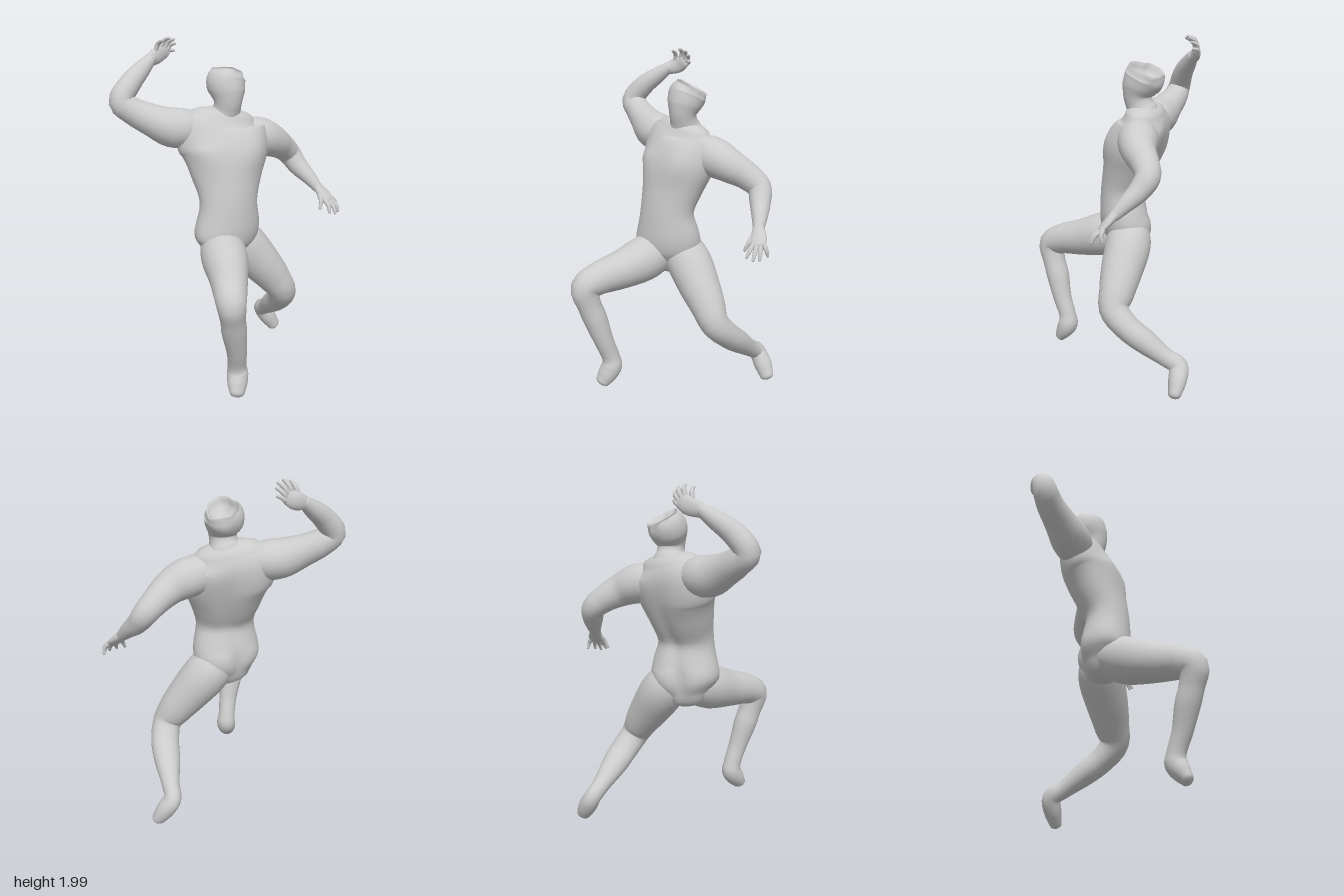
import * as THREE from 'three';

const material = new THREE.MeshStandardMaterial({ color: 0xcccccc });
const V = (x, y, z) => new THREE.Vector3(x, y, z);

// Skin a smooth closed tube over sections [x, y, z, radiusA, radiusB, twist].
// ref points along radiusA; capEnd < 0 turns the end cap into a hollow.
function loft(name, sections, { ref = V(1, 0, 0), sides = 20, steps = 4, capEnd = 0.7, shape = () => 1 } = {}) {
  const path = new THREE.CatmullRomCurve3(sections.map(s => V(s[0], s[1], s[2])));
  const sizes = new THREE.CatmullRomCurve3(
    sections.map(s => V(s[3], s[4] ?? s[3], s[5] ?? 0)), false, 'catmullrom', 0.5);
  const n = (sections.length - 1) * steps;
  const rings = [];
  const addRing = (u, lift, shrink) => rings.push({ u, lift, shrink });
  for (const a of [1.2, 0.8, 0.4]) addRing(0, -0.7 * Math.sin(a), Math.cos(a));
  for (let i = 0; i <= n; i++) addRing(i / n, 0, 1);
  for (const a of [0.4, 0.8, 1.2]) addRing(1, capEnd * Math.sin(a), Math.cos(a));

  const pos = [], index = [];
  const frame = (u, lift) => {
    const t = path.getTangent(u), size = sizes.getPoint(u);
    const side = ref.clone().addScaledVector(t, -ref.dot(t)).normalize().applyAxisAngle(t, size.z);
    const c = path.getPoint(u).addScaledVector(t, lift * Math.min(size.x, size.y));
    return { c, side, other: t.clone().cross(side), size };
  };
  for (const { u, lift, shrink } of rings) {
    const f = frame(u, lift);
    for (let j = 0; j < sides; j++) {
      const a = j / sides * Math.PI * 2, k = shrink * shape(a, u);
      const p = f.c.clone()
        .addScaledVector(f.side, Math.cos(a) * f.size.x * k)
        .addScaledVector(f.other, Math.sin(a) * f.size.y * k);
      pos.push(p.x, p.y, p.z);
    }
  }
  for (let i = 0; i < rings.length - 1; i++) {
    for (let j = 0; j < sides; j++) {
      const a = i * sides + j, b = i * sides + (j + 1) % sides;
      index.push(a, b, b + sides, a, b + sides, a + sides);
    }
  }
  // poles
  const last = (rings.length - 1) * sides, pole = rings.length * sides;
  for (const [u, lift] of [[0, -0.7], [1, capEnd]]) {
    const { c } = frame(u, lift);
    pos.push(c.x, c.y, c.z);
  }
  for (let j = 0; j < sides; j++) {
    const k = (j + 1) % sides;
    index.push(pole, k, j, pole + 1, last + j, last + k);
  }
  const g = new THREE.BufferGeometry();
  g.setAttribute('position', new THREE.Float32BufferAttribute(pos, 3));
  g.setIndex(index);
  g.computeVertexNormals();
  const mesh = new THREE.Mesh(g, material);
  mesh.name = name;
  return mesh;
}

// Palm with fingers running from [base, tip] pairs, bent at the middle joint
function hand(name, palm, ref, fingers, bend) {
  const g = new THREE.Group();
  g.name = name;
  g.add(loft('palm', palm, { ref, sides: 14 }));
  for (const [base, tip] of fingers) {
    const mid = base.map((b, i) => (b + tip[i]) / 2 + bend[i]);
    g.add(loft('finger', [[...base, 0.014], [...mid, 0.013], [...tip, 0.008]], { sides: 8, steps: 3 }));
  }
  return g;
}

// Muscle relief of the torso: spine, buttock cleft, chest and shoulder blades
const bump = (v, at, w) => Math.exp(-(((v - at) / w) ** 2));
const BACK = Math.PI / 2, FRONT = Math.PI * 1.5;
function torsoRelief(a, u) {
  const pair = (mid, gap, w) => bump(a, mid - gap, w) + bump(a, mid + gap, w);
  return 1
    - 0.10 * Math.sin(Math.PI * u) * bump(a, BACK, 0.22)
    - 0.14 * bump(u, 0.12, 0.13) * bump(a, BACK, 0.2)
    + 0.06 * bump(u, 0.14, 0.12) * pair(BACK, 0.6, 0.4)
    + 0.13 * bump(u, 0.68, 0.1) * pair(FRONT, 0.5, 0.4)
    + 0.07 * bump(u, 0.78, 0.12) * pair(BACK, 0.6, 0.35);
}

// Ragged rim of the hollow crown
const raggedRim = (a, u) =>
  1 + 0.05 * Math.max(0, u * 6 - 5) * (Math.sin(a * 5) + Math.sin(a * 3 + 1) + 0.6 * Math.sin(a * 9));

export function createModel() {
  const model = new THREE.Group();
  model.name = 'leapingFigure';

  model.add(loft('torso', [
    [-0.115, 0.785, -0.04, 0.13, 0.105, 0],
    [-0.105, 0.865, -0.035, 0.195, 0.142, 0],
    [-0.10, 0.95, -0.02, 0.20, 0.145, -0.1],
    [-0.10, 1.10, -0.01, 0.172, 0.128, -0.25],
    [-0.08, 1.25, -0.05, 0.21, 0.15, -0.38],
    [-0.06, 1.38, -0.09, 0.255, 0.155, -0.42],
    [-0.06, 1.49, -0.13, 0.262, 0.14, -0.4],
    [-0.045, 1.565, -0.135, 0.19, 0.105, -0.4],
  ], { sides: 40, capEnd: 0.5, shape: torsoRelief }));

  // Neck flaring into the shoulders, and head open at the crown
  model.add(loft('head', [
    [-0.04, 1.50, -0.13, 0.17, 0.10, -0.3],
    [-0.037, 1.56, -0.12, 0.112, 0.092, -0.2],
    [-0.035, 1.61, -0.10, 0.08, 0.08],
    [-0.035, 1.655, -0.09, 0.078, 0.084],
    [-0.03, 1.705, -0.10, 0.098, 0.104],
    [-0.022, 1.76, -0.125, 0.108, 0.117],
    [0.0, 1.81, -0.138, 0.086, 0.098],
  ], { sides: 36, capEnd: -0.75, shape: raggedRim }));

  // Raised right arm
  model.add(loft('rightArm', [
    [-0.14, 1.50, -0.18, 0.08],
    [-0.23, 1.505, -0.22, 0.11],
    [-0.31, 1.515, -0.26, 0.113],
    [-0.40, 1.56, -0.325, 0.092],
    [-0.48, 1.61, -0.385, 0.078],
    [-0.535, 1.665, -0.42, 0.069],
    [-0.46, 1.76, -0.43, 0.061],
    [-0.38, 1.82, -0.445, 0.051],
    [-0.30, 1.875, -0.46, 0.034],
  ], { ref: V(0, 0, 1) }));
  model.add(hand('rightHand', [
    [-0.315, 1.865, -0.458, 0.036, 0.03],
    [-0.245, 1.89, -0.47, 0.048, 0.024],
    [-0.20, 1.915, -0.46, 0.042, 0.018],
  ], V(-0.5, 0.85, 0), [
    [[-0.26, 1.92, -0.465], [-0.25, 1.98, -0.405]],
    [[-0.22, 1.94, -0.46], [-0.205, 1.99, -0.405]],
    [[-0.205, 1.925, -0.46], [-0.17, 1.98, -0.41]],
    [[-0.19, 1.91, -0.46], [-0.155, 1.955, -0.42]],
    [[-0.19, 1.89, -0.46], [-0.155, 1.915, -0.43]],
  ], [0.004, 0.008, -0.016]));

  // Lowered left arm
  model.add(loft('leftArm', [
    [0.01, 1.455, -0.11, 0.08],
    [0.10, 1.44, -0.08, 0.108],
    [0.19, 1.418, -0.06, 0.113],
    [0.275, 1.382, -0.055, 0.097],
    [0.37, 1.33, -0.075, 0.08],
    [0.442, 1.27, -0.08, 0.07],
    [0.468, 1.20, -0.03, 0.06],
    [0.492, 1.14, 0.04, 0.046],
    [0.51, 1.08, 0.105, 0.03],
  ], { ref: V(0, 0.6, 0.8) }));
  model.add(hand('leftHand', [
    [0.508, 1.09, 0.10, 0.032, 0.027],
    [0.525, 1.045, 0.145, 0.046, 0.021],
    [0.535, 1.015, 0.175, 0.042, 0.016],
  ], V(1, 0, 0), [
    [[0.49, 1.05, 0.14], [0.458, 0.975, 0.18]],
    [[0.505, 1.015, 0.175], [0.49, 0.955, 0.23]],
    [[0.528, 1.01, 0.18], [0.53, 0.945, 0.24]],
    [[0.55, 1.01, 0.18], [0.565, 0.95, 0.23]],
    [[0.567, 1.02, 0.17], [0.592, 0.96, 0.175]],
  ], [0.004, 0.006, 0.008]));

  // Right leg stepping forward, foot hanging down
  model.add(loft('rightLeg', [
    [-0.13, 0.86, -0.07, 0.095],
    [-0.17, 0.835, 0.01, 0.125],
    [-0.22, 0.80, 0.10, 0.132],
    [-0.295, 0.765, 0.22, 0.113],
    [-0.38, 0.735, 0.34, 0.095],
    [-0.425, 0.695, 0.405, 0.083],
    [-0.405, 0.59, 0.395, 0.07],
    [-0.38, 0.50, 0.375, 0.07],
    [-0.342, 0.36, 0.35, 0.057],
    [-0.315, 0.25, 0.32, 0.053],
    [-0.31, 0.195, 0.318, 0.06, 0.062],
    [-0.33, 0.145, 0.34, 0.058, 0.053],
    [-0.35, 0.105, 0.362, 0.045, 0.037],
  ], { sides: 24 }));

  // Left leg trailing behind, toes pointing down
  model.add(loft('leftLeg', [
    [-0.06, 0.91, -0.06, 0.09],
    [-0.01, 0.845, -0.04, 0.125],
    [0.045, 0.775, -0.02, 0.133],
    [0.12, 0.67, 0.02, 0.122],
    [0.19, 0.57, 0.055, 0.105],
    [0.245, 0.475, 0.08, 0.086],
    [0.295, 0.385, 0.015, 0.084, 0.075],
    [0.33, 0.31, -0.08, 0.077, 0.07],
    [0.37, 0.22, -0.20, 0.052],
    [0.393, 0.175, -0.268, 0.05, 0.055],
    [0.435, 0.105, -0.257, 0.055, 0.052],
    [0.472, 0.04, -0.235, 0.042, 0.036],
  ], { sides: 24 }));

  return model;
}
